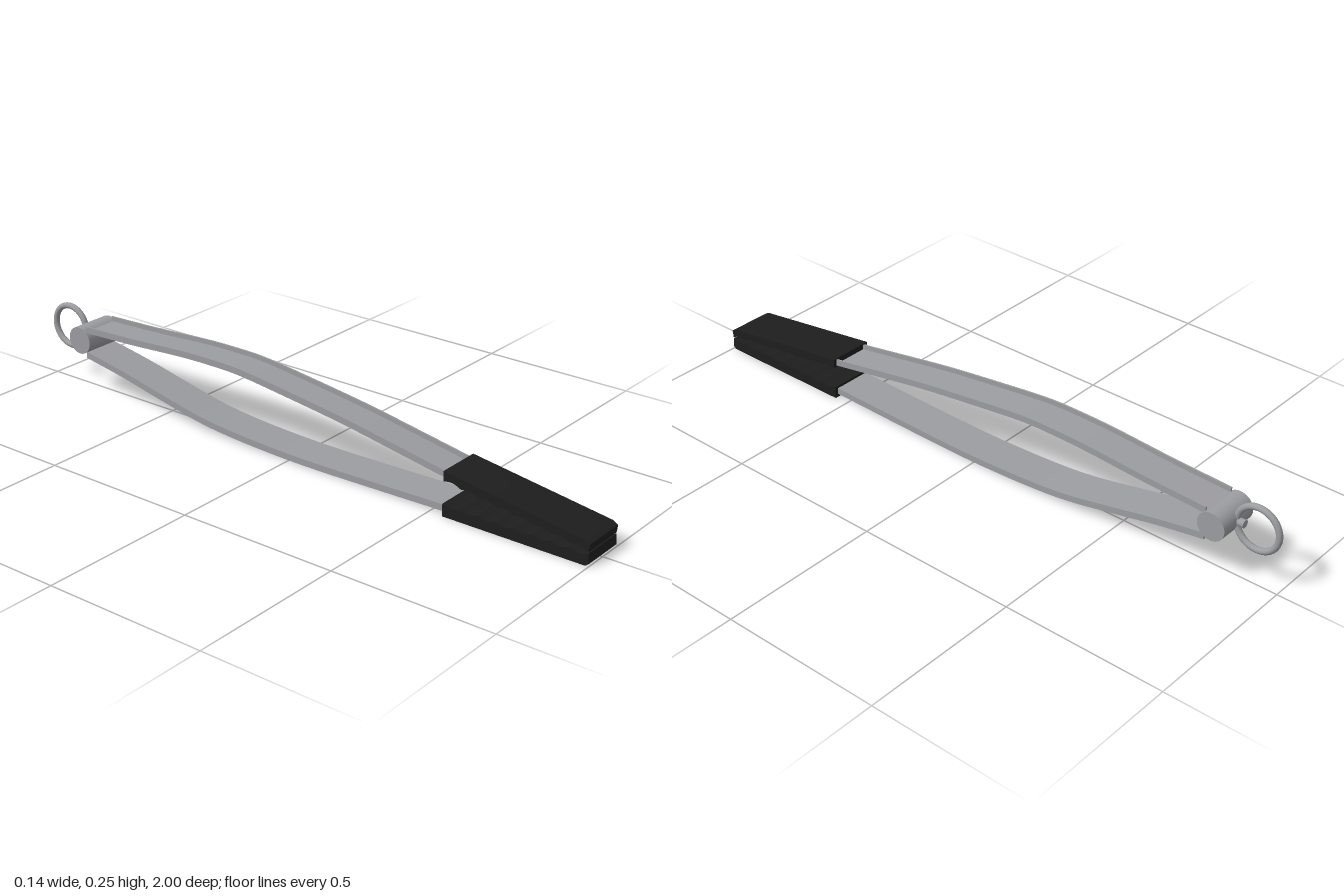
import * as THREE from 'three';
import { toCreasedNormals } from 'three/addons/utils/BufferGeometryUtils.js';

const metal = new THREE.MeshStandardMaterial({ color: 0x9c9da1 });
metal.name = 'brushed steel';
const rubber = new THREE.MeshStandardMaterial({ color: 0x1e1e1e });
rubber.name = 'black rubber';

function add(parent, name, geometry, material) {
  const mesh = new THREE.Mesh(geometry, material);
  mesh.name = name;
  parent.add(mesh);
  return mesh;
}

// Extrudes a side outline of [z, y] points across x, from x0 to x1.
function across(points, x0, x1) {
  const shape = new THREE.Shape(points.map(([z, y]) => new THREE.Vector2(z, y)));
  const geo = new THREE.ExtrudeGeometry(shape, { depth: x1 - x0, bevelEnabled: false });
  geo.rotateY(-Math.PI / 2);
  geo.translate(x1, 0, 0);
  return toCreasedNormals(geo, 0.5);
}

// Outline of a band following a centre line, between two offsets along its normal.
function band(curve, from, to, steps = 44) {
  const lower = [], upper = [];
  for (let i = 0; i <= steps; i++) {
    const p = curve.getPoint(i / steps), t = curve.getTangent(i / steps);
    lower.push([p.x - t.y * from, p.y + t.x * from]);
    upper.push([p.x - t.y * to, p.y + t.x * to]);
  }
  return [...lower, ...upper.reverse()];
}

// Channel-shaped arm: a thin strip on the inner side, two rails facing outwards.
function arm(name, points, out) {
  const group = new THREE.Group();
  group.name = name;
  const curve = new THREE.SplineCurve(points.map(([z, y]) => new THREE.Vector2(z, y)));
  const strip = out > 0 ? [-0.01, -0.005] : [0.005, 0.01];
  add(group, 'strip', across(band(curve, ...strip), -0.056, 0.056), metal);
  for (const side of [-1, 1]) {
    const x = side * 0.0575;
    add(group, side > 0 ? 'leftRail' : 'rightRail',
      across(band(curve, -0.01, 0.01), x - 0.0025, x + 0.0025), metal);
  }
  return group;
}

// Grip: plain outer side, scalloped inner side. Points are [z, y] pairs.
function grip(outer, innerTip, innerBack, out) {
  const points = [...outer];
  const teeth = 8, steps = 6;
  for (let i = 0; i <= teeth * steps; i++) {
    const t = i / (teeth * steps);
    const hollow = 0.007 * Math.abs(Math.sin(t * teeth * Math.PI));
    points.push([
      THREE.MathUtils.lerp(innerTip[0], innerBack[0], t),
      THREE.MathUtils.lerp(innerTip[1], innerBack[1], t) + out * hollow,
    ]);
  }
  return across(points, -0.071, 0.071);
}

export function createModel() {
  const model = new THREE.Group();
  model.name = 'kitchenTongs';

  // Arms
  model.add(arm('upperArm', [[-0.8, 0.209], [-0.6, 0.217], [-0.42, 0.228], [-0.3, 0.231], [-0.18, 0.228],
    [0, 0.207], [0.2, 0.18], [0.4, 0.146], [0.55, 0.12], [0.62, 0.109]], 1));
  model.add(arm('lowerArm', [[-0.8, 0.126], [-0.65, 0.1], [-0.5, 0.068], [-0.35, 0.038], [-0.22, 0.023],
    [-0.05, 0.014], [0.1, 0.012], [0.3, 0.015], [0.55, 0.02], [0.62, 0.02]], -1));

  // Grips
  add(model, 'upperGrip', grip([[0.545, 0.135], [0.985, 0.073], [1, 0.064]],
    [0.997, 0.041], [0.547, 0.105], 1), rubber);
  add(model, 'lowerGrip', grip([[0.545, 0], [0.99, 0], [1, 0.008]],
    [0.997, 0.037], [0.545, 0.038], -1), rubber);

  // Hinge barrel
  const hinge = add(model, 'hinge', new THREE.CylinderGeometry(0.043, 0.043, 0.132, 40), metal);
  hinge.rotation.z = Math.PI / 2;
  hinge.position.set(0, 0.17, -0.823);

  // Stud holding the ring
  const stud = add(model, 'ringStud', new THREE.CylinderGeometry(0.012, 0.012, 0.035, 20), metal);
  stud.rotation.x = Math.PI / 2;
  stud.position.set(0, 0.172, -0.868);

  // Hanging ring
  const ring = add(model, 'hangingRing', new THREE.TorusGeometry(0.0655, 0.0095, 14, 48), metal);
  ring.rotation.y = Math.PI / 2;
  ring.position.set(0, 0.176, -0.925);

  return model;
}
